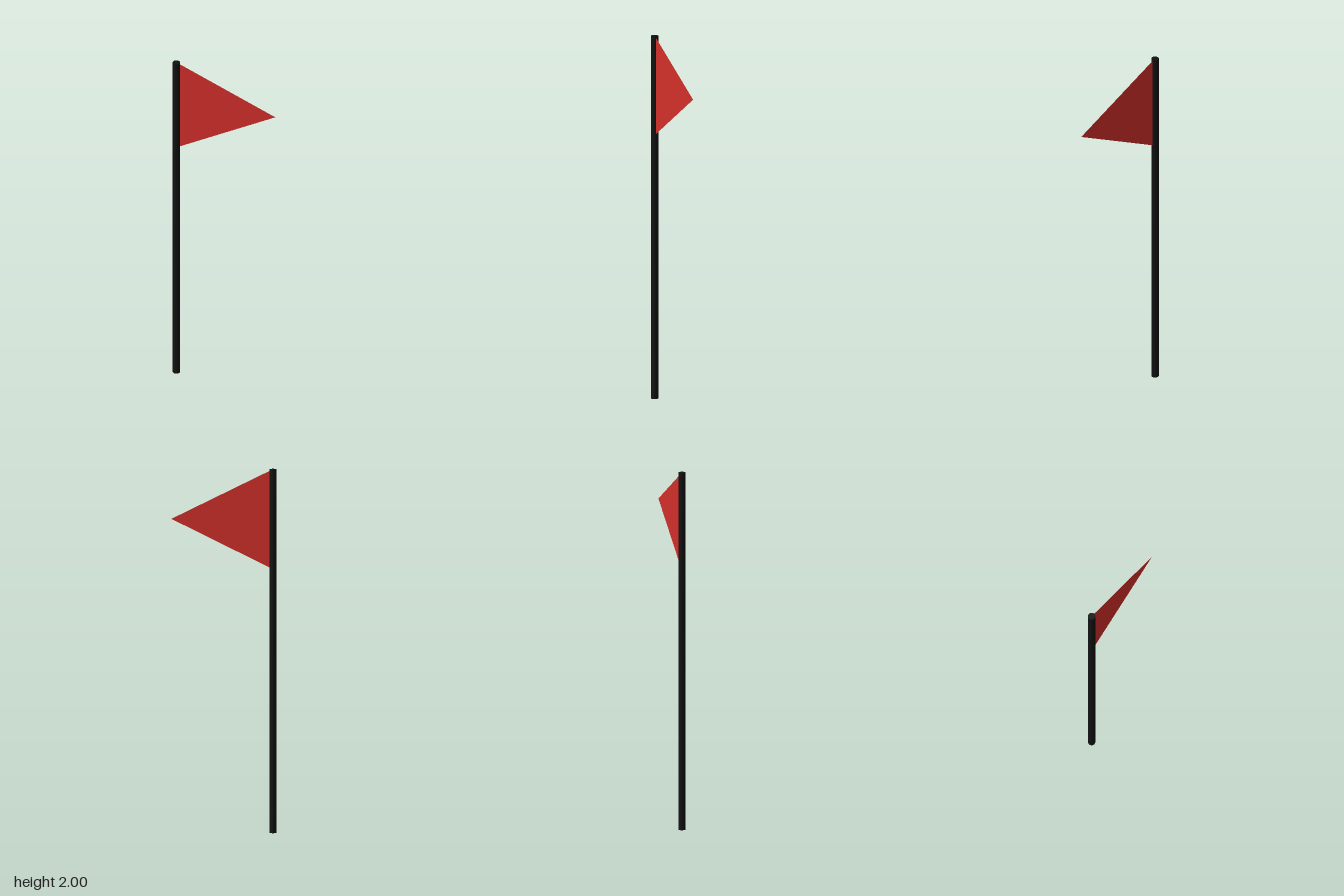
import * as THREE from 'three';

export function createModel() {
  const group = new THREE.Group();
  const poleX = -0.267, poleRadius = 0.02, height = 2;

  // Round pole with flat ends
  const pole = new THREE.Mesh(
    new THREE.CylinderGeometry(poleRadius, poleRadius, height, 32),
    new THREE.MeshStandardMaterial({ color: 0x111111 })
  );
  pole.name = 'pole';
  pole.position.set(poleX, height / 2, 0);
  group.add(pole);

  // Thin triangular pennant, its hoist edge running down the pole axis
  const outline = new THREE.Shape([
    new THREE.Vector2(poleX, 1.45),
    new THREE.Vector2(0.287, 1.725),
    new THREE.Vector2(poleX, height),
  ]);
  const pennant = new THREE.Mesh(
    new THREE.ShapeGeometry(outline),
    new THREE.MeshStandardMaterial({ color: 0xd32f2a, side: THREE.DoubleSide })
  );
  pennant.name = 'pennant';
  group.add(pennant);

  return group;
}
